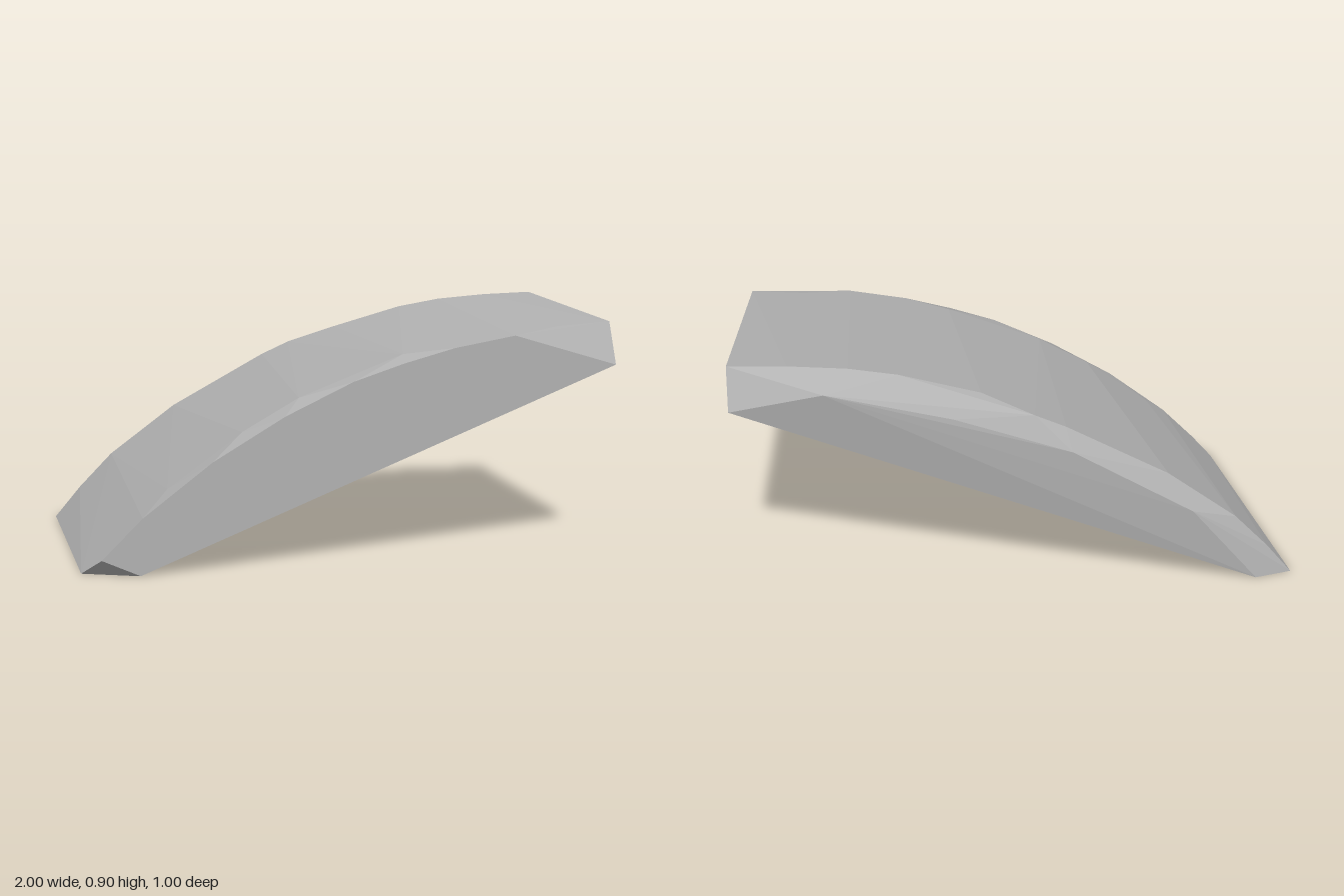
import * as THREE from 'three';
import { ConvexGeometry } from 'three/addons/geometries/ConvexGeometry.js';

// Places a run of [x, y] points on the plane z
const arcAt = (z, pts) => pts.map(([x, y]) => new THREE.Vector3(x, y, z));

export function createModel() {
  const group = new THREE.Group();
  group.name = 'archedStone';
  const stone = new THREE.MeshStandardMaterial({ color: 0xb2b2b2, flatShading: true });
  stone.name = 'stone grey';

  const points = [
    // front face outline
    ...arcAt(0.5, [[-0.7, 0], [-0.83, 0.06], [-0.69, 0.2], [-0.45, 0.385], [-0.2, 0.535],
      [0.04, 0.65], [0.22, 0.71], [0.4, 0.76], [0.62, 0.8], [1, 0.69]]),
    // front chamfer
    ...arcAt(0.43, [[-0.9, 0], [-0.6, 0.285], [-0.34, 0.475], [-0.14, 0.59], [0.23, 0.735],
      [0.8, 0.825], [1, 0.84]]),
    // crest of the curved top along the back
    ...arcAt(-0.46, [[-1, 0], [-0.9, 0.12], [-0.77, 0.255], [-0.51, 0.45], [-0.14, 0.655], [-0.03, 0.705]]),
    ...arcAt(-0.4, [[0.15, 0.77], [0.43, 0.85], [0.6, 0.88], [0.8, 0.897], [1, 0.905]]),
    // back bulge
    ...arcAt(-0.5, [[-0.6, 0.31], [-0.16, 0.575]]),
    ...arcAt(-0.495, [[0.25, 0.72], [0.68, 0.83]]),
    // lower back chamfer
    ...arcAt(-0.49, [[-0.86, 0]]),
    ...arcAt(-0.465, [[1, 0.765]]),
    ...arcAt(-0.4, [[-0.79, 0]]),
    ...arcAt(-0.335, [[1, 0.725]]),
  ];

  const block = new THREE.Mesh(new ConvexGeometry(points), stone);
  block.name = 'chamferedBlock';
  group.add(block);
  return group;
}
